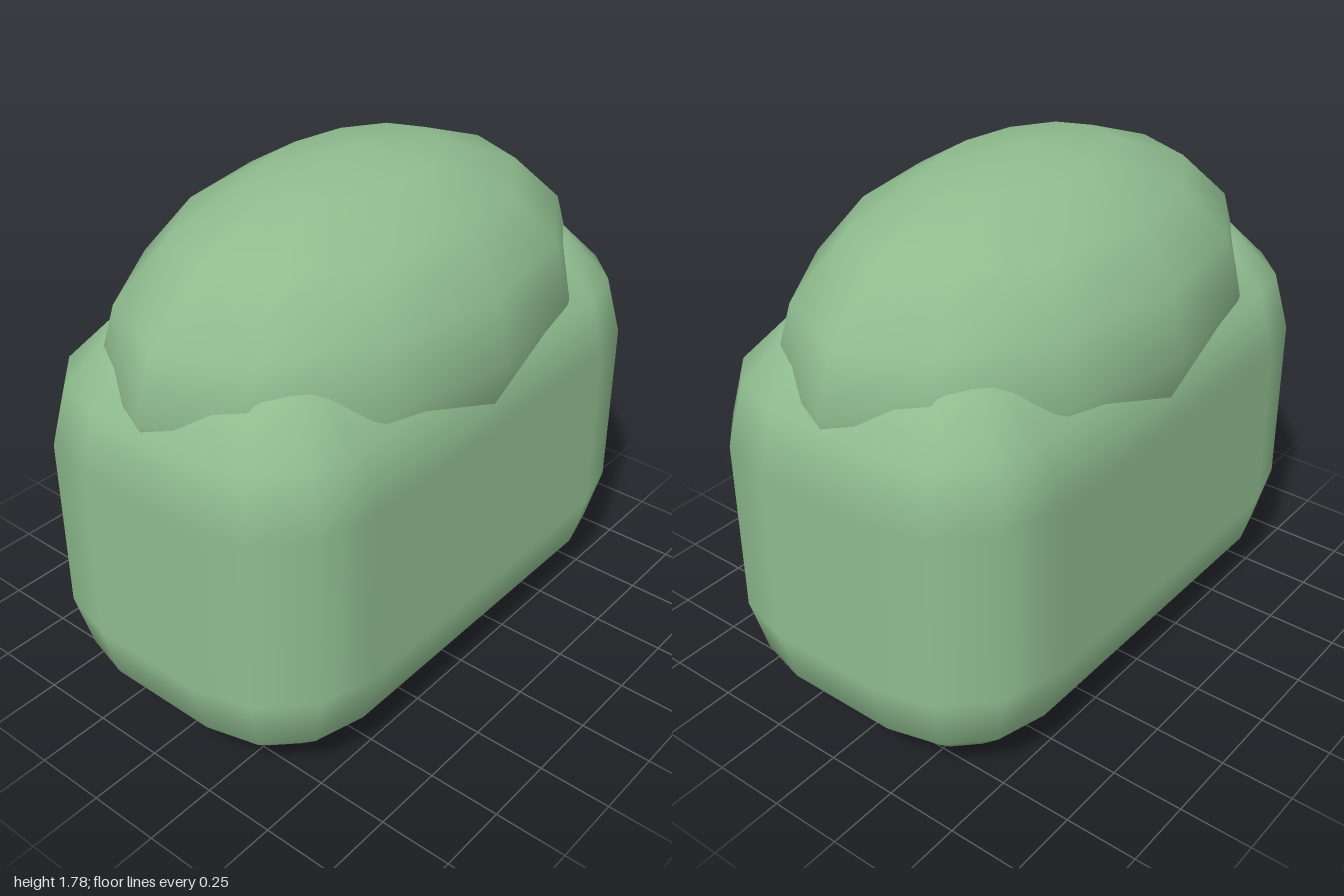
import * as THREE from 'three';

const STEPS = 3; // facets per rounded quarter

// Box with rounded edges: a grid wrapped around the eight corner spheres
function roundedBlock(width, height, depth, radius) {
  const perQuarter = STEPS + 1;
  const cols = 4 * perQuarter;
  const rows = 2 * perQuarter + 2; // corner rings plus a centre point at each end
  const geometry = new THREE.PlaneGeometry(1, 1, cols, rows - 1);
  const { position, normal } = geometry.attributes;
  const core = new THREE.Vector3(width / 2 - radius, height / 2 - radius, depth / 2 - radius);
  const step = Math.PI / 2 / STEPS;

  for (let row = 0; row < rows; row++) {
    const isCentre = row === 0 || row === rows - 1;
    const ring = THREE.MathUtils.clamp(row - 1, 0, rows - 3);
    const lower = ring >= perQuarter;
    const theta = (lower ? ring - 1 : ring) * step;
    for (let col = 0; col <= cols; col++) {
      const c = col % cols;
      const quarter = Math.floor(c / perQuarter);
      const phi = quarter * Math.PI / 2 + (c % perQuarter) * step;
      const n = new THREE.Vector3(
        Math.sin(theta) * Math.sin(phi), Math.cos(theta), Math.sin(theta) * Math.cos(phi));
      const p = n.clone().multiplyScalar(radius).add(new THREE.Vector3(
        quarter < 2 ? core.x : -core.x,
        lower ? -core.y : core.y,
        quarter === 0 || quarter === 3 ? core.z : -core.z));
      if (isCentre) p.set(0, lower ? -height / 2 : height / 2, 0);
      const i = row * (cols + 1) + col;
      position.setXYZ(i, p.x, p.y, p.z);
      normal.setXYZ(i, n.x, n.y, n.z);
    }
  }
  return geometry;
}

export function createModel() {
  const group = new THREE.Group();
  const material = new THREE.MeshStandardMaterial({ color: 0x8fbc8f });

  // Rounded main block
  const body = new THREE.Mesh(roundedBlock(2, 1.4, 1.2, 0.4), material);
  body.name = 'body';
  body.position.y = 0.7;
  group.add(body);

  // Ellipsoid sunk into the top
  const dome = new THREE.Mesh(new THREE.SphereGeometry(1, 12, 8).scale(0.95, 0.545, 0.61), material);
  dome.name = 'dome';
  dome.position.y = 1.24;
  group.add(dome);

  return group;
}
